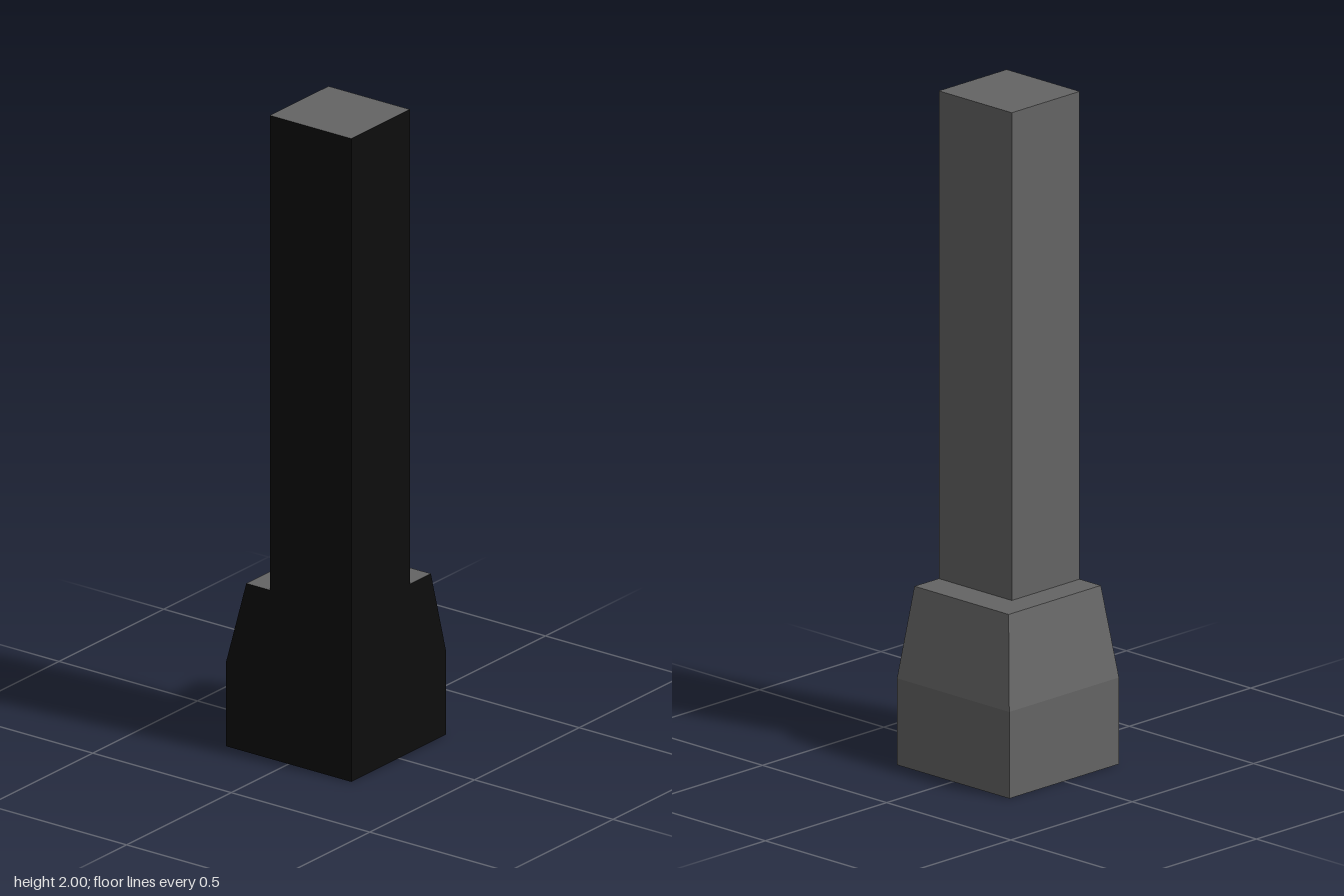
import * as THREE from 'three';

const H = 0.226; // half width of the plinth; every tier shares the corner at (+H, +H)

export function createModel() {
  const stone = new THREE.MeshStandardMaterial({ color: 0x646464 });
  stone.name = 'grey stone';
  const cut = new THREE.MeshStandardMaterial({ color: 0x0d0d0d });
  cut.name = 'black wall side';

  // Box face order: +x, -x, +y, -y, +z, -z
  const materials = [cut, stone, stone, stone, cut, stone];

  // One tier reaching from the shared corner to (x, z); bottom and top may differ
  function tier(name, [x0, z0, y0], [x1, z1, y1], hiddenFaces = []) {
    const geo = new THREE.BoxGeometry(1, 1, 1);
    const pos = geo.attributes.position;
    for (let i = 0; i < pos.count; i++) {
      const top = pos.getY(i) > 0;
      pos.setXYZ(
        i,
        pos.getX(i) > 0 ? H : top ? x1 : x0,
        top ? y1 : y0,
        pos.getZ(i) > 0 ? H : top ? z1 : z0
      );
    }
    // Leave out faces buried between tiers
    geo.groups = geo.groups.filter((g) => !hiddenFaces.includes(g.materialIndex));
    const flat = geo.toNonIndexed();
    flat.groups = geo.groups;
    flat.computeVertexNormals();
    const mesh = new THREE.Mesh(flat, materials);
    mesh.name = name;
    return mesh;
  }

  const model = new THREE.Group();
  model.name = 'cornerPillar';
  model.add(
    tier('plinth', [-H, -H, 0], [-H, -H, 0.262], [2]),
    tier('taperedBase', [-H, -H, 0.262], [-0.153, -0.154, 0.524], [3]),
    tier('shaft', [-0.068, -0.054, 0.524], [-0.068, -0.054, 2], [3])
  );
  return model;
}
